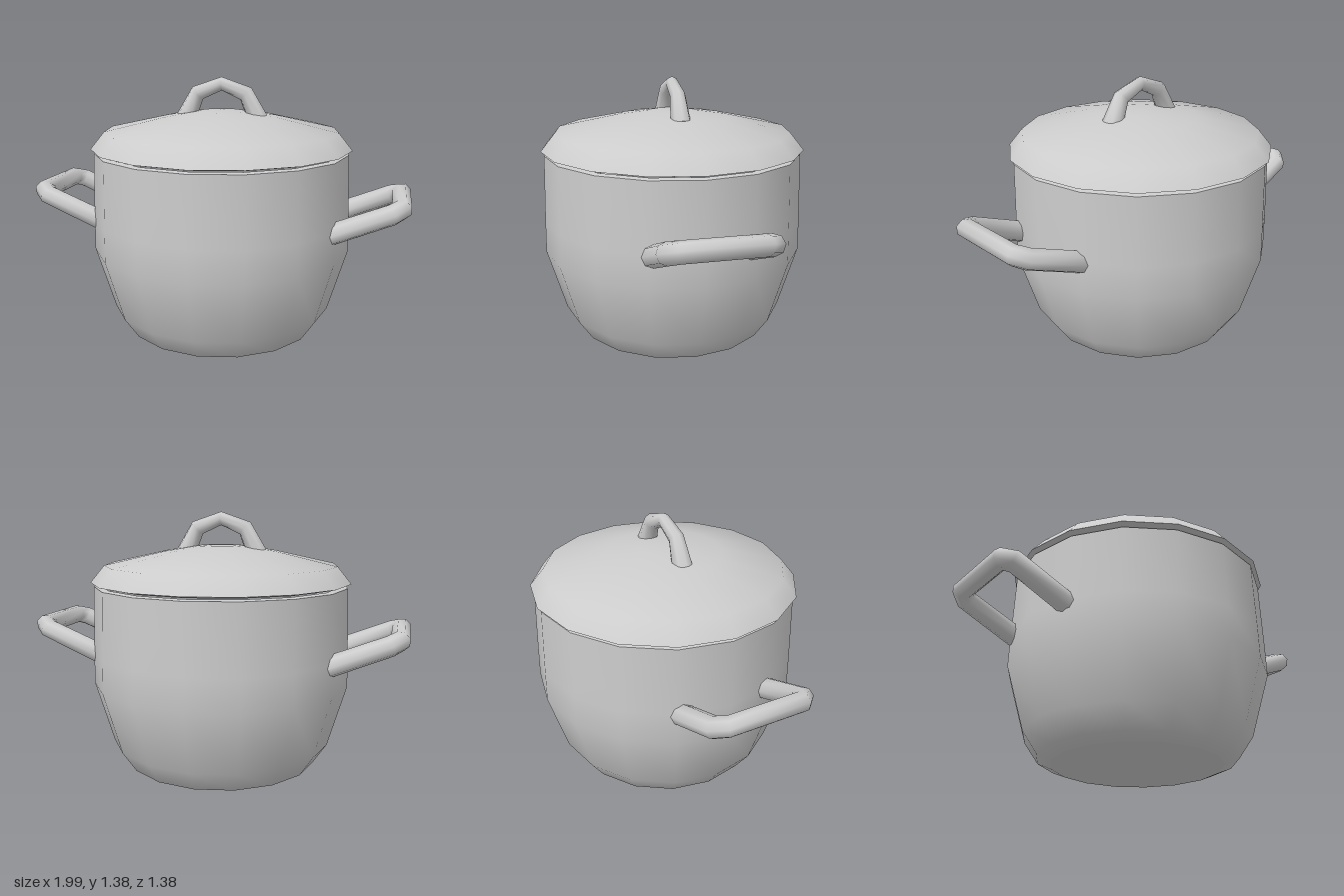
import * as THREE from 'three';
import { toCreasedNormals } from 'three/addons/utils/BufferGeometryUtils.js';

const SIDES = 16;
const material = new THREE.MeshStandardMaterial({ color: 0xcccccc });

function addMesh(parent, name, geometry) {
  const mesh = new THREE.Mesh(geometry, material);
  mesh.name = name;
  parent.add(mesh);
  return mesh;
}

function lathe(profile, crease) {
  const points = profile.map(([r, y]) => new THREE.Vector2(r, y));
  return toCreasedNormals(new THREE.LatheGeometry(points, SIDES), crease);
}

// Mitred bar along a flat polyline; each point is [x, y, z, radius]
function sweepBar(path, planeNormal, sides = 8) {
  const v = new THREE.Vector3(...planeNormal).normalize();
  const pts = path.map(([x, y, z]) => new THREE.Vector3(x, y, z));
  const last = pts.length - 1;
  const positions = [];
  const index = [];
  const direction = (i) => pts[i + 1].clone().sub(pts[i]).normalize();
  pts.forEach((p, i) => {
    const before = direction(Math.max(i - 1, 0));
    const after = direction(Math.min(i, last - 1));
    const tangent = before.clone().add(after).normalize();
    const u = v.clone().cross(tangent).divideScalar(tangent.dot(after));
    for (let j = 0; j < sides; j++) {
      const a = (j / sides) * Math.PI * 2;
      const q = p.clone()
        .addScaledVector(u, Math.cos(a) * path[i][3])
        .addScaledVector(v, Math.sin(a) * path[i][3]);
      positions.push(q.x, q.y, q.z);
    }
  });
  for (let i = 0; i < last; i++) {
    for (let j = 0; j < sides; j++) {
      const k = (j + 1) % sides;
      const a = i * sides + j, b = i * sides + k;
      index.push(a, b, a + sides, b, b + sides, a + sides);
    }
  }
  // End caps
  const end = last * sides;
  for (let j = 1; j < sides - 1; j++) {
    index.push(0, j + 1, j, end, end + j, end + j + 1);
  }
  const geometry = new THREE.BufferGeometry();
  geometry.setAttribute('position', new THREE.Float32BufferAttribute(positions, 3));
  geometry.setIndex(index);
  return toCreasedNormals(geometry, 1.2);
}

export function createModel() {
  const group = new THREE.Group();
  group.name = 'cookingPot';

  // Pot body with a thin rim turning inward
  addMesh(group, 'potBody', lathe([
    [0.44, 0], [0.515, 0.03], [0.59, 0.14], [0.688, 0.47], [0.685, 0.64],
    [0.675, 0.99], [0.64, 0.995], [0.64, 0.9],
  ], 0.9));

  // Flat base
  const base = new THREE.CircleGeometry(0.44, SIDES);
  base.rotateX(Math.PI / 2);
  addMesh(group, 'potBase', base);

  // Domed lid with a sharp overhanging edge
  addMesh(group, 'lid', lathe([
    [0, 1.0], [0.64, 1.0], [0.692, 1.012], [0.62, 1.1], [0.3, 1.172],
    [0.12, 1.2], [0, 1.205],
  ], 0.9));

  // Lid grip: splayed feet, thinner at the peak
  addMesh(group, 'lidGrip', sweepBar([
    [-0.195, 1.16, 0, 0.054], [-0.13, 1.292, 0, 0.04], [0, 1.342, 0, 0.033],
    [0.13, 1.292, 0, 0.04], [0.195, 1.16, 0, 0.054],
  ], [0, 0, 1]));

  // Side handles: chamfered loops that slope up and outward
  const half = [[0.61, 0.625, 0.235, 0.055], [0.905, 0.746, 0.235, 0.052], [0.95, 0.765, 0.19, 0.05]];
  const mirrored = half.map(([x, y, z, r]) => [x, y, -z, r]).reverse();
  const handle = sweepBar([...half, ...mirrored], [-0.38, 0.924, 0]);
  addMesh(group, 'leftHandle', handle);
  addMesh(group, 'rightHandle', handle).rotation.y = Math.PI;

  return group;
}
